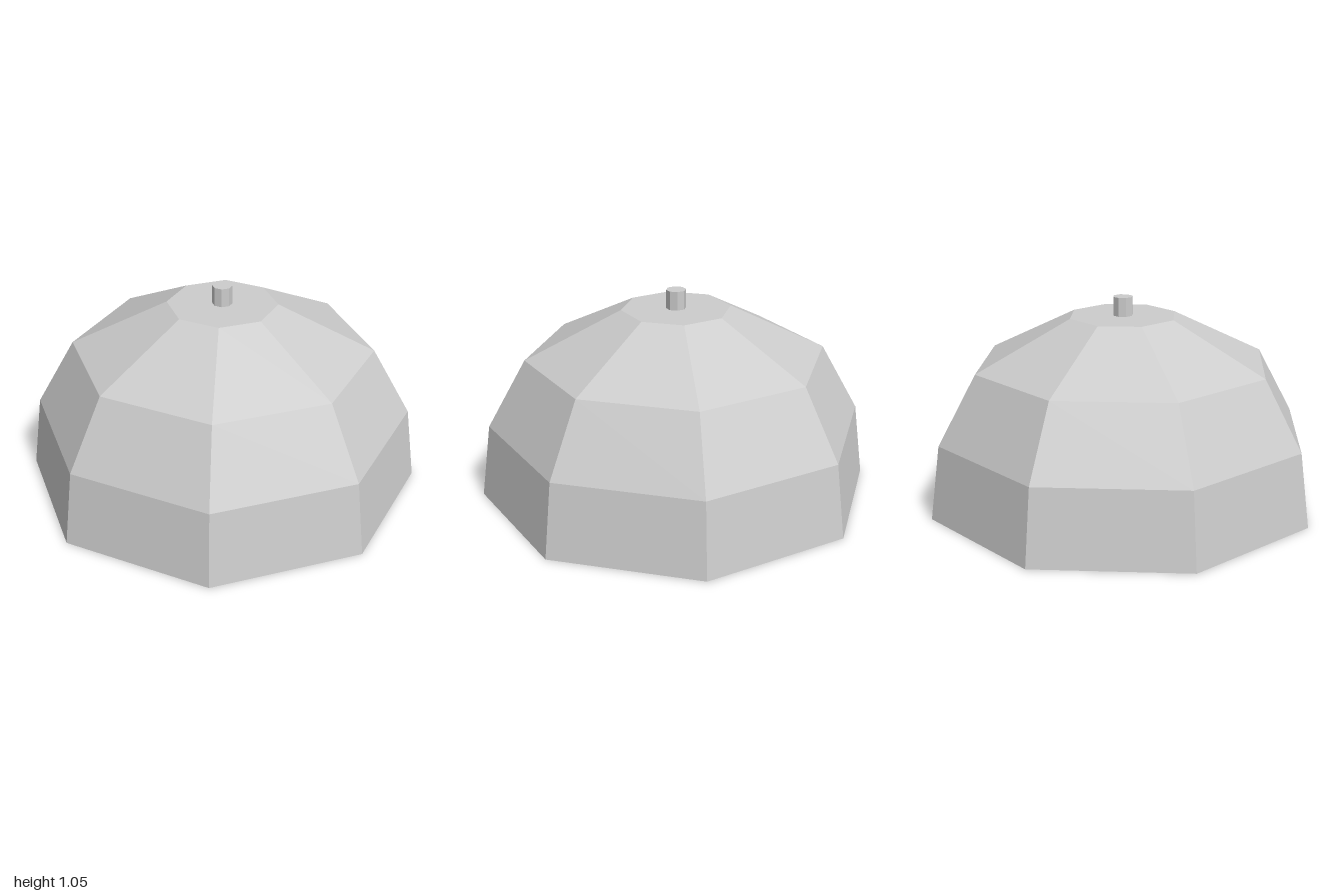
import * as THREE from 'three';

const SIDES = 8;
// Dome profile: radius and height at each ring of corners
const PROFILE = [[1, 0], [0.95, 0.375], [0.757, 0.72], [0.275, 0.96]];

export function createModel() {
  const group = new THREE.Group();
  const grey = new THREE.MeshStandardMaterial({
    color: 0xcccccc, flatShading: true, side: THREE.DoubleSide,
  });
  grey.name = 'light grey';

  const add = (name, geometry) => {
    const mesh = new THREE.Mesh(geometry, grey);
    mesh.name = name;
    group.add(mesh);
    return mesh;
  };

  // Eight-sided canopy, open underneath, with a flat top
  const points = [...PROFILE, [0, 0.96]].map(([r, y]) => new THREE.Vector2(r, y));
  add('canopy', new THREE.LatheGeometry(points, SIDES));

  // Upright stub on the flat top
  add('topStub', new THREE.CylinderGeometry(0.05, 0.05, 0.12, SIDES)).position.y = 0.995;

  // Thin upright partitions from corner to opposite corner, filling the dome
  const thickness = 0.02;
  const half = PROFILE.map(([r, y]) => new THREE.Vector2(r - 0.006, Math.min(y, 0.955)));
  const mirrored = half.map((p) => new THREE.Vector2(-p.x, p.y)).reverse();
  const partition = new THREE.ExtrudeGeometry(new THREE.Shape([...half, ...mirrored]), {
    depth: thickness, bevelEnabled: false,
  });
  partition.translate(0, 0, -thickness / 2);
  for (let i = 0; i < SIDES / 2; i++) {
    add('partition', partition).rotation.y = (i * 2 * Math.PI) / SIDES;
  }

  return group;
}
